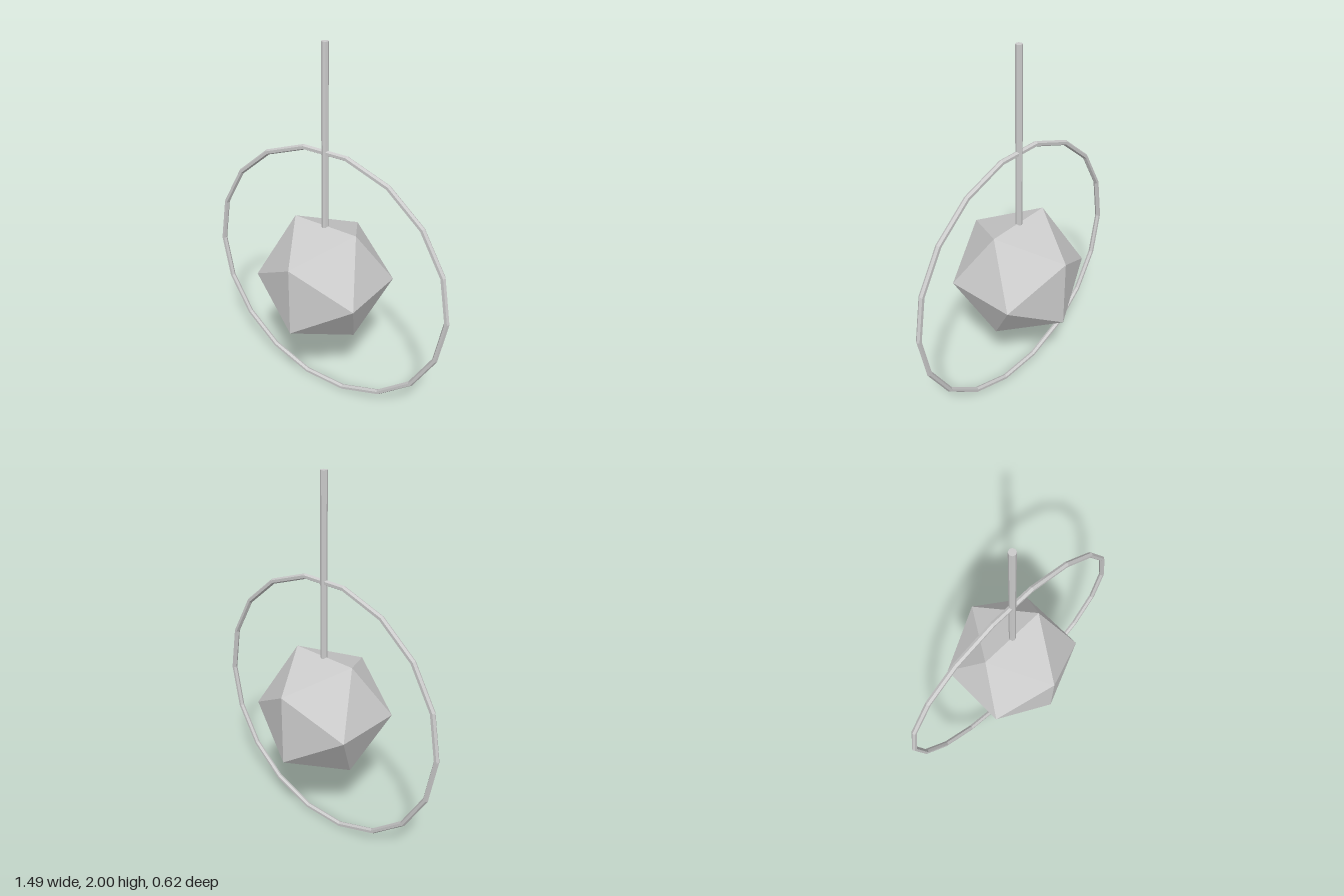
import * as THREE from 'three';

export function createModel() {
  const group = new THREE.Group();
  const material = new THREE.MeshStandardMaterial({ color: 0xcccccc, flatShading: true });
  const centerY = 0.738;

  const add = (name, geometry, y) => {
    const mesh = new THREE.Mesh(geometry, material);
    mesh.name = name;
    mesh.position.y = y;
    group.add(mesh);
  };

  // faceted core, one edge on top
  add('core', new THREE.IcosahedronGeometry(0.366, 0), centerY);

  // thin upright ring around the core
  add('ring', new THREE.TorusGeometry(0.73, 0.0146, 6, 18), centerY);

  // hanging rod from the top edge of the core
  const rodBottom = 1.043;
  const rodLength = 2 - rodBottom;
  add('rod', new THREE.CylinderGeometry(0.018, 0.018, rodLength, 8), rodBottom + rodLength / 2);

  return group;
}
